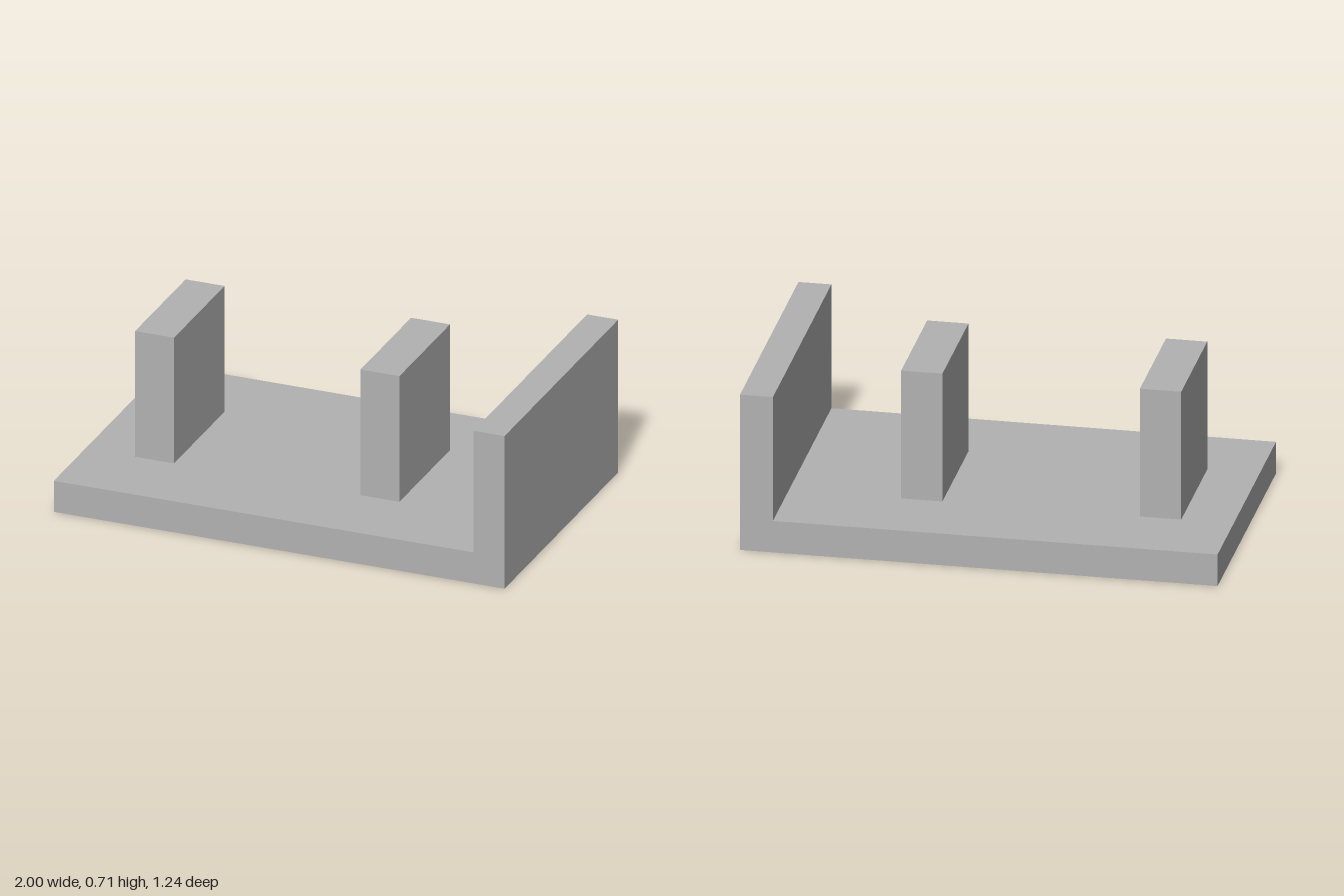
import * as THREE from 'three';

export function createModel() {
  const group = new THREE.Group();
  const grey = new THREE.MeshStandardMaterial({ color: 0xb2b2b2 });
  grey.name = 'plain grey';

  // L-shaped bracket: base plate with an upright end wall
  const depth = 1.236;
  const profile = new THREE.Shape([
    [-1, 0], [1, 0], [1, 0.69], [0.862, 0.69], [0.862, 0.14], [-1, 0.14],
  ].map(([x, y]) => new THREE.Vector2(x, y)));
  const bracketGeometry = new THREE.ExtrudeGeometry(profile, { depth, bevelEnabled: false });
  bracketGeometry.translate(0, 0, -depth / 2);
  const bracket = new THREE.Mesh(bracketGeometry, grey);
  bracket.name = 'baseWithEndWall';
  group.add(bracket);

  // Two upright blocks standing on the base
  const height = 0.568;
  const blockGeometry = new THREE.BoxGeometry(0.173, height, 0.55);
  [['rightBlock', -0.694], ['leftBlock', 0.306]].forEach(([name, x]) => {
    const block = new THREE.Mesh(blockGeometry, grey);
    block.name = name;
    block.position.set(x, 0.14 + height / 2, -0.003);
    group.add(block);
  });

  return group;
}
